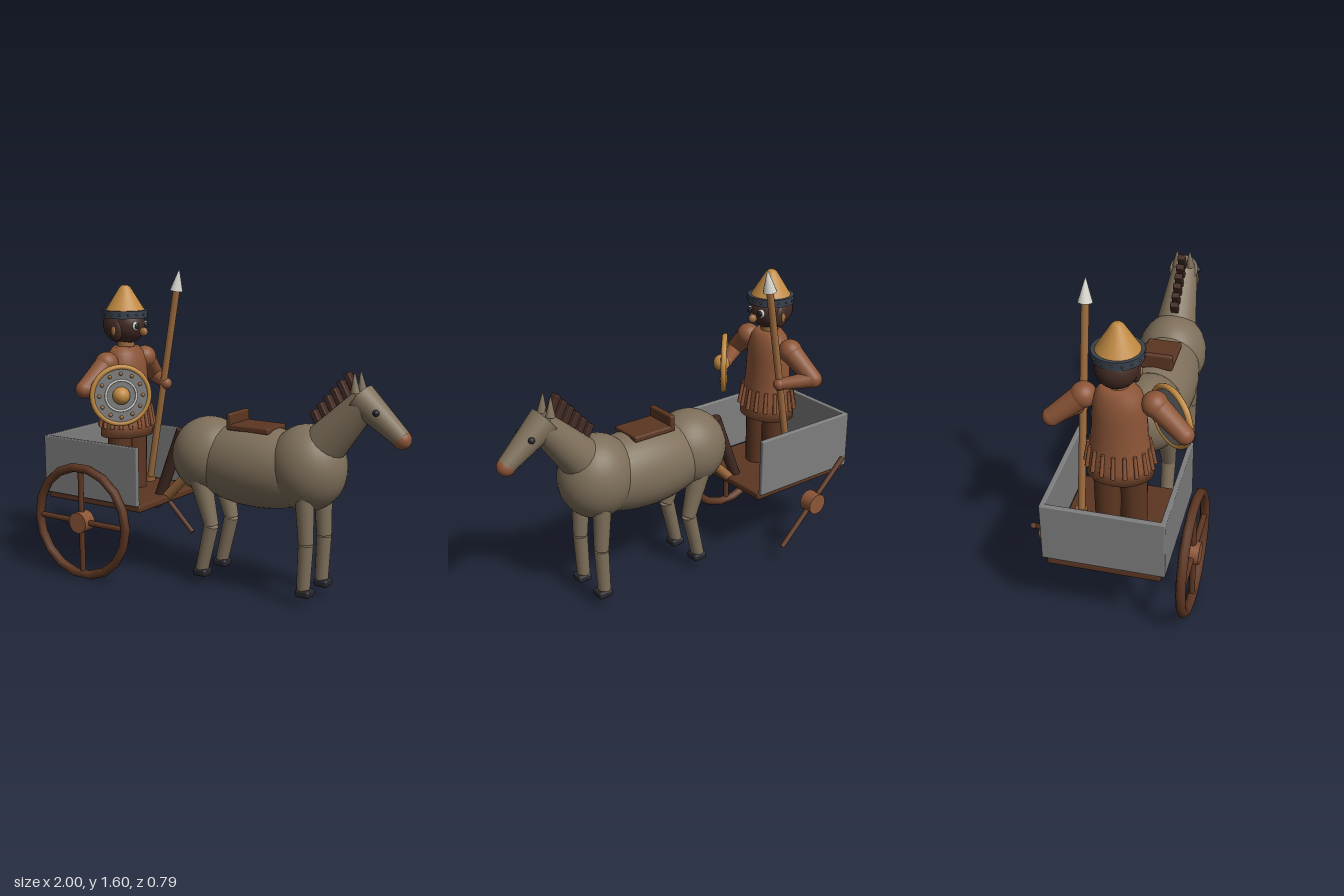
import * as THREE from 'three';
import { RoundedBoxGeometry } from 'three/addons/geometries/RoundedBoxGeometry.js';

const material = (name, color) => {
  const m = new THREE.MeshStandardMaterial({ color });
  m.name = name;
  return m;
};
const V = (x, y, z = 0) => new THREE.Vector3(x, y, z);

export function createModel() {
  const coat = material('taupe coat', 0x7e6f5a);
  const black = material('near black', 0x26262c);
  const darkWood = material('dark wood', 0x5c3622);
  const leather = material('brown leather', 0x8c5537);
  const gold = material('gold', 0xc08a42);
  const grey = material('panel grey', 0x7e7e7e);
  const silver = material('silver', 0xd6d6ce);
  const wood = material('light wood', 0x9c6b3e);
  const hairBrown = material('dark hair', 0x422a23);
  const slate = material('slate', 0x39414c);

  const model = new THREE.Group();
  const group = (name, parent = model) => {
    const g = new THREE.Group();
    g.name = name;
    parent.add(g);
    return g;
  };
  const add = (parent, name, geo, mat, p = V(0, 0, 0)) => {
    const m = new THREE.Mesh(geo, mat);
    m.name = name;
    m.position.copy(p);
    parent.add(m);
    return m;
  };
  // tapered rod between two points
  const rod = (parent, name, a, b, ra, rb, mat, sides = 16) => {
    const m = add(parent, name, new THREE.CylinderGeometry(rb, ra, a.distanceTo(b), sides), mat,
      a.clone().add(b).multiplyScalar(0.5));
    m.quaternion.setFromUnitVectors(V(0, 1), b.clone().sub(a).normalize());
    return m;
  };
  const ball = (parent, name, p, r, mat, sx = 1, sy = 1, sz = 1) => {
    const m = add(parent, name, new THREE.SphereGeometry(r, 28, 20), mat, p);
    m.scale.set(sx, sy, sz);
    return m;
  };
  const box = (parent, name, w, h, d, mat, p, r = 0.006) =>
    add(parent, name, new RoundedBoxGeometry(w, h, d, 2, r), mat, p);

  // ---- cart ----
  const cart = group('cart');
  box(cart, 'floor', 0.62, 0.04, 0.54, darkWood, V(-0.68, 0.41), 0.012);
  box(cart, 'backWall', 0.025, 0.31, 0.58, grey, V(-0.98, 0.582));
  for (const s of [1, -1]) box(cart, 'sideWall', 0.62, 0.31, 0.025, grey, V(-0.682, 0.582, s * 0.279));
  rod(cart, 'drawPole', V(-0.41, 0.40), V(-0.2, 0.61), 0.026, 0.026, wood);

  // left wheel is whole, the right one is only a hub and one bar
  const hub = V(-0.685, 0.32, 0.36);
  const wheel = group('leftWheel', cart);
  add(wheel, 'rim', new THREE.TorusGeometry(0.29, 0.024, 8, 18), darkWood, hub);
  for (const [dx, dy] of [[0.285, 0], [0, 0.285]]) {
    rod(wheel, 'spoke', hub.clone().add(V(-dx, -dy)), hub.clone().add(V(dx, dy)), 0.015, 0.015, darkWood, 10);
  }
  const brokenWheel = group('rightWheel', cart);
  rod(brokenWheel, 'bar', V(-0.895, 0.525, -0.358), V(-0.475, 0.115, -0.358), 0.014, 0.014, darkWood, 10);
  for (const s of [1, -1]) {
    rod(s > 0 ? wheel : brokenWheel, 'hub', V(-0.685, 0.32, s * 0.322), V(-0.685, 0.32, s * 0.396), 0.056, 0.056, leather, 20);
  }

  // ---- horse ----
  const horse = group('horse');
  ball(horse, 'rump', V(-0.112, 0.682), 0.202, coat, 1, 1, 0.92);
  ball(horse, 'barrel', V(0.18, 0.66), 0.21, coat, 2.03, 1, 0.91);
  ball(horse, 'chest', V(0.462, 0.688), 0.2, coat, 1, 1.08, 0.93);
  rod(horse, 'neck', V(0.55, 0.81), V(0.77, 1.05), 0.11, 0.07, coat, 20);
  rod(horse, 'head', V(0.735, 1.06), V(0.955, 0.885), 0.079, 0.045, coat, 20);
  ball(horse, 'muzzle', V(0.954, 0.882), 0.046, leather);
  rod(horse, 'tail', V(-0.285, 0.79), V(-0.458, 0.372), 0.036, 0.028, hairBrown);
  ball(horse, 'tailTip', V(-0.458, 0.374), 0.028, hairBrown);
  for (let i = 0; i < 6; i++) {
    const tuft = box(horse, 'maneTuft', 0.032, 0.095, 0.042, hairBrown, V(0.51 + i * 0.0355, 0.935 + i * 0.039));
    tuft.rotation.z = 0.5;
  }
  for (const s of [1, -1]) {
    ball(horse, 'eye', V(0.845, 1.005, s * 0.058), 0.016, black);
    rod(horse, 'ear', V(0.728, 1.085, s * 0.038), V(0.72, 1.18, s * 0.034), 0.024, 0.003, coat, 12);
    const z = s * 0.096;
    rod(horse, 'frontUpperLeg', V(0.495, 0.62, z), V(0.508, 0.33, z), 0.05, 0.038, coat);
    rod(horse, 'frontLowerLeg', V(0.508, 0.325, z), V(0.497, 0.09, z), 0.038, 0.034, coat);
    rod(horse, 'rearUpperLeg', V(-0.12, 0.62, z), V(-0.042, 0.335, z), 0.062, 0.038, coat);
    rod(horse, 'rearLowerLeg', V(-0.045, 0.335, z), V(-0.104, 0.09, z), 0.039, 0.034, coat);
    for (const x of [0.506, -0.1]) {
      box(horse, 'hoof', 0.08, 0.04, 0.076, black, V(x, 0.08, z), 0.014);
    }
  }
  const saddle = group('saddle', horse);
  box(saddle, 'seat', 0.245, 0.032, 0.18, darkWood, V(0.163, 0.859), 0.01);
  box(saddle, 'backrest', 0.03, 0.085, 0.18, darkWood, V(0.056, 0.887), 0.01);

  // ---- rider ----
  const rider = group('rider');
  rider.position.x = -0.652;
  const tunic = add(rider, 'tunic', new THREE.LatheGeometry([
    [0.001, 0.735], [0.13, 0.735], [0.128, 0.8], [0.118, 0.86], [0.108, 0.95], [0.104, 1.05],
    [0.1, 1.12], [0.085, 1.18], [0.062, 1.212], [0.001, 1.213],
  ].map(([r, y]) => new THREE.Vector2(r, y)), 28), leather);
  tunic.scale.z = 1.24;
  for (let i = 0; i < 18; i++) {
    const a = i / 18 * Math.PI * 2;
    const c = Math.cos(a), s = Math.sin(a);
    rod(rider, 'tassel', V(c * 0.137, 0.785, s * 0.163), V(c * 0.12, 0.895, s * 0.146), 0.011, 0.009, leather, 8);
  }
  rod(rider, 'neck', V(0, 1.19), V(0, 1.27), 0.046, 0.046, wood);
  ball(rider, 'face', V(0.005, 1.325), 0.104, hairBrown, 1.03, 0.95, 0.88);
  ball(rider, 'hair', V(-0.025, 1.325), 0.1, hairBrown, 1, 0.98, 1);
  const nose = rod(rider, 'nose', V(0.11, 1.315), V(0.116, 1.292), 0.012, 0.016, wood, 12);
  nose.scale.x = 1.2;
  ball(rider, 'noseTip', V(0.12, 1.294), 0.024, wood, 1, 1, 0.8);
  for (const s of [1, -1]) {
    rod(rider, 'leg', V(0, 0.425, s * 0.065), V(0, 0.76, s * 0.065), 0.062, 0.066, darkWood);
    ball(rider, 'sideLock', V(0.0, 1.3, s * 0.082), 0.03, hairBrown, 1.3, 1.9, 0.7);
    ball(rider, 'ear', V(0.0, 1.3, s * 0.102), 0.016, wood, 0.8, 1.5, 0.5);
    ball(rider, 'eyeWhite', V(0.098, 1.326, s * 0.04), 0.023, silver, 0.5, 1, 1);
    ball(rider, 'pupil', V(0.106, 1.326, s * 0.04), 0.016, black, 0.6, 1, 1);
    // arms bent forward
    const shoulder = V(0, 1.135, s * 0.165), elbow = V(-0.035, 1.015, s * 0.308), hand = V(0.11, 0.99, s * 0.21);
    ball(rider, 'shoulder', shoulder, 0.062, leather);
    rod(rider, 'upperArm', shoulder, elbow, 0.058, 0.046, leather);
    ball(rider, 'elbow', elbow, 0.046, leather);
    rod(rider, 'forearm', elbow, hand, 0.045, 0.03, leather);
    ball(rider, 'hand', hand, 0.032, leather);
  }

  // pointed hat with studded band
  const hat = group('hat', rider);
  add(hat, 'crown', new THREE.LatheGeometry([
    [0.108, 1.395], [0.1, 1.41], [0.03, 1.522], [0.016, 1.534], [0.0005, 1.536],
  ].map(([r, y]) => new THREE.Vector2(r, y)), 28), gold);
  rod(hat, 'band', V(0, 1.365), V(0, 1.405), 0.12, 0.12, slate, 32);
  for (let i = 0; i < 16; i++) {
    const a = i / 16 * Math.PI * 2;
    ball(hat, 'stud', V(Math.cos(a) * 0.119, 1.385, Math.sin(a) * 0.119), 0.006, slate);
  }

  // ---- round shield, facing forward and outward ----
  const shield = group('shield');
  shield.position.set(-0.525, 0.985, 0.212);
  shield.rotation.y = 0.84;
  rod(shield, 'plate', V(0, 0, -0.01), V(0, 0, 0.01), 0.145, 0.145, grey, 36);
  const rim = add(shield, 'rim', new THREE.TorusGeometry(0.148, 0.014, 10, 36), gold);
  rim.scale.z = 1.1;
  add(shield, 'ring', new THREE.TorusGeometry(0.08, 0.006, 8, 32), silver, V(0, 0, 0.011));
  ball(shield, 'boss', V(0, 0, 0.014), 0.046, gold);
  for (let i = 0; i < 12; i++) {
    const a = i / 12 * Math.PI * 2;
    ball(shield, 'stud', V(Math.cos(a) * 0.114, Math.sin(a) * 0.114, 0.011), 0.01, wood);
  }

  // ---- spear ----
  const spear = group('spear');
  const butt = V(-0.655, 0.43, -0.2), neck = V(-0.461, 1.5, -0.2), tip = V(-0.44, 1.615, -0.2);
  rod(spear, 'shaft', butt, neck, 0.019, 0.019, wood, 12);
  rod(spear, 'buttRing', butt, V(-0.65, 0.458, -0.2), 0.03, 0.03, wood, 14);
  rod(spear, 'spearhead', neck, tip, 0.036, 0.001, silver, 10);

  return model;
}
